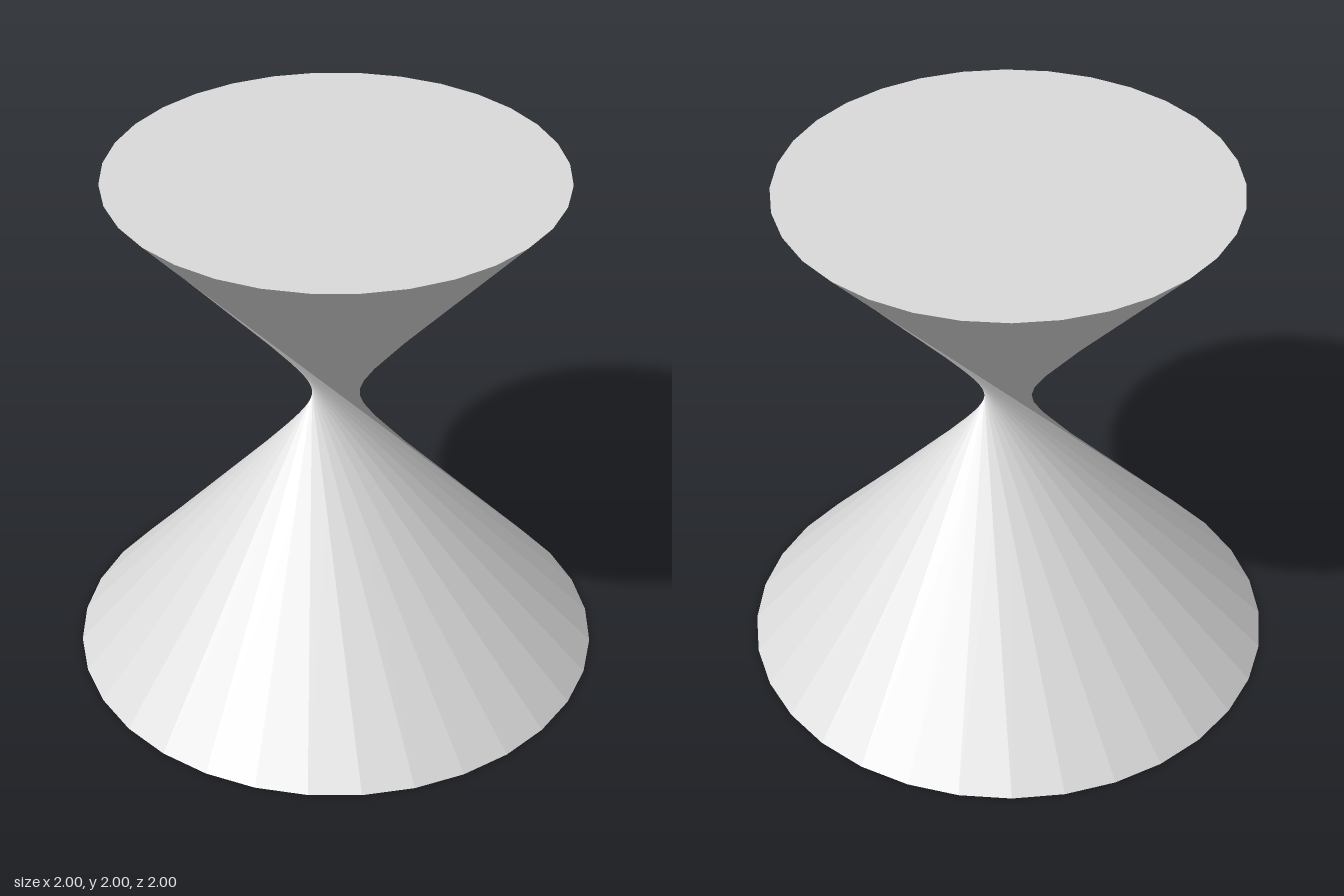
import * as THREE from 'three';

export function createModel() {
  const group = new THREE.Group();
  group.name = 'twistedHourglass';

  // Double-sided because the crossing facets show their backs near the waist
  const grey = new THREE.MeshStandardMaterial({ color: 0xdadada, flatShading: true, side: THREE.DoubleSide });
  grey.name = 'lightGrey';

  // Closed 32-sided tapered drum, one row tall
  const drum = new THREE.CylinderGeometry(0.83, 1, 2, 32, 1);

  // Turn the top rim half a turn so the side facets cross and form the waist
  const pos = drum.attributes.position;
  for (let i = 0; i < pos.count; i++) {
    if (pos.getY(i) > 0) {
      pos.setX(i, -pos.getX(i));
      pos.setZ(i, -pos.getZ(i));
    }
  }
  drum.translate(0, 1, 0);

  // Separate facets for flat normals
  const geometry = drum.toNonIndexed();
  geometry.computeVertexNormals();

  const body = new THREE.Mesh(geometry, grey);
  body.name = 'hourglassBody';
  group.add(body);
  return group;
}
